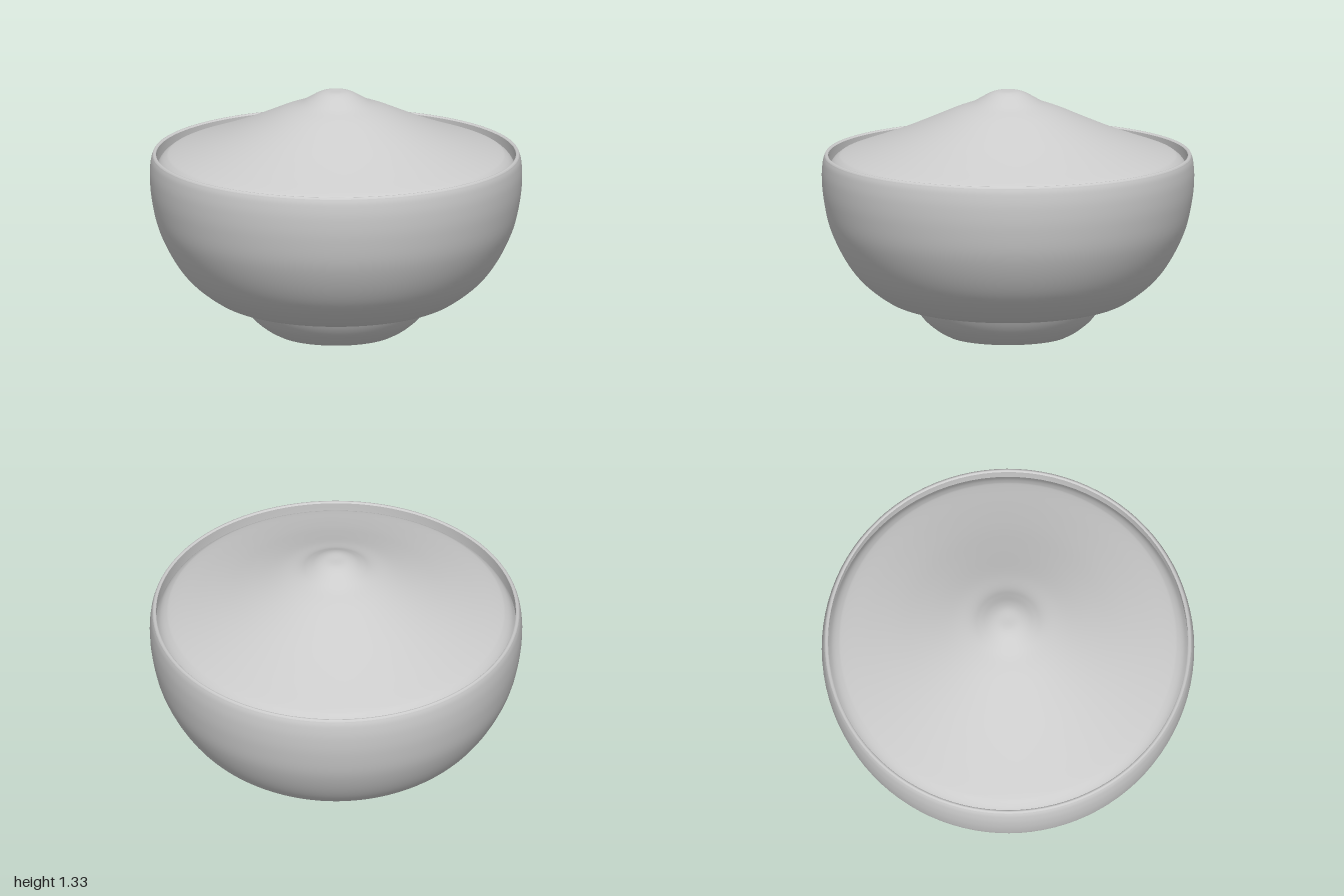
import * as THREE from 'three';

const SEGMENTS = 96;
const vec = ([x, y]) => new THREE.Vector2(x, y);

// Revolve a profile; steps > 0 smooths it with a spline first
function turned(name, points, material, steps = 0) {
  let profile = points.map(vec);
  if (steps) profile = new THREE.SplineCurve(profile).getPoints(steps);
  profile.forEach((p) => { p.x = Math.max(0, p.x); });
  const mesh = new THREE.Mesh(new THREE.LatheGeometry(profile, SEGMENTS), material);
  mesh.name = name;
  return mesh;
}

export function createModel() {
  const group = new THREE.Group();
  group.name = 'filledBowl';
  const grey = new THREE.MeshStandardMaterial({ color: 0xcccccc, side: THREE.DoubleSide });
  grey.name = 'light grey';

  // Foot: flat underside and flared wall
  group.add(turned('footUnderside', [[0, 0], [0.28, 0], [0.325, 0]], grey));
  group.add(turned('foot', [
    [0.325, 0], [0.38, 0.03], [0.44, 0.078], [0.475, 0.12], [0.5, 0.16],
  ], grey, 16));

  // Bowl wall, from the foot out and up to the lip
  group.add(turned('bowlWall', [
    [0.48, 0.157], [0.55, 0.162], [0.65, 0.197], [0.785, 0.3], [0.88, 0.425],
    [0.955, 0.585], [0.99, 0.74], [1, 0.86], [0.995, 0.94], [0.986, 0.975],
  ], grey, 48));

  // Rounded lip and inner wall
  group.add(turned('bowlRim', [
    [0.986, 0.975], [0.98, 0.985], [0.972, 0.985], [0.966, 0.978],
  ], grey));
  group.add(turned('bowlInnerWall', [
    [0.966, 0.978], [0.968, 0.93], [0.968, 0.85], [0.955, 0.72],
  ], grey));

  // Heaped filling, steeper near the wall and rising to a small blunt peak
  group.add(turned('filling', [
    [0.967, 0.9], [0.945, 0.94], [0.915, 0.968], [0.88, 0.985], [0.75, 1.032],
    [0.6, 1.09], [0.45, 1.155], [0.3, 1.222], [0.2, 1.26], [0.15, 1.287],
    [0.1, 1.315], [0.055, 1.329], [0, 1.33],
  ], grey, 60));

  return group;
}
